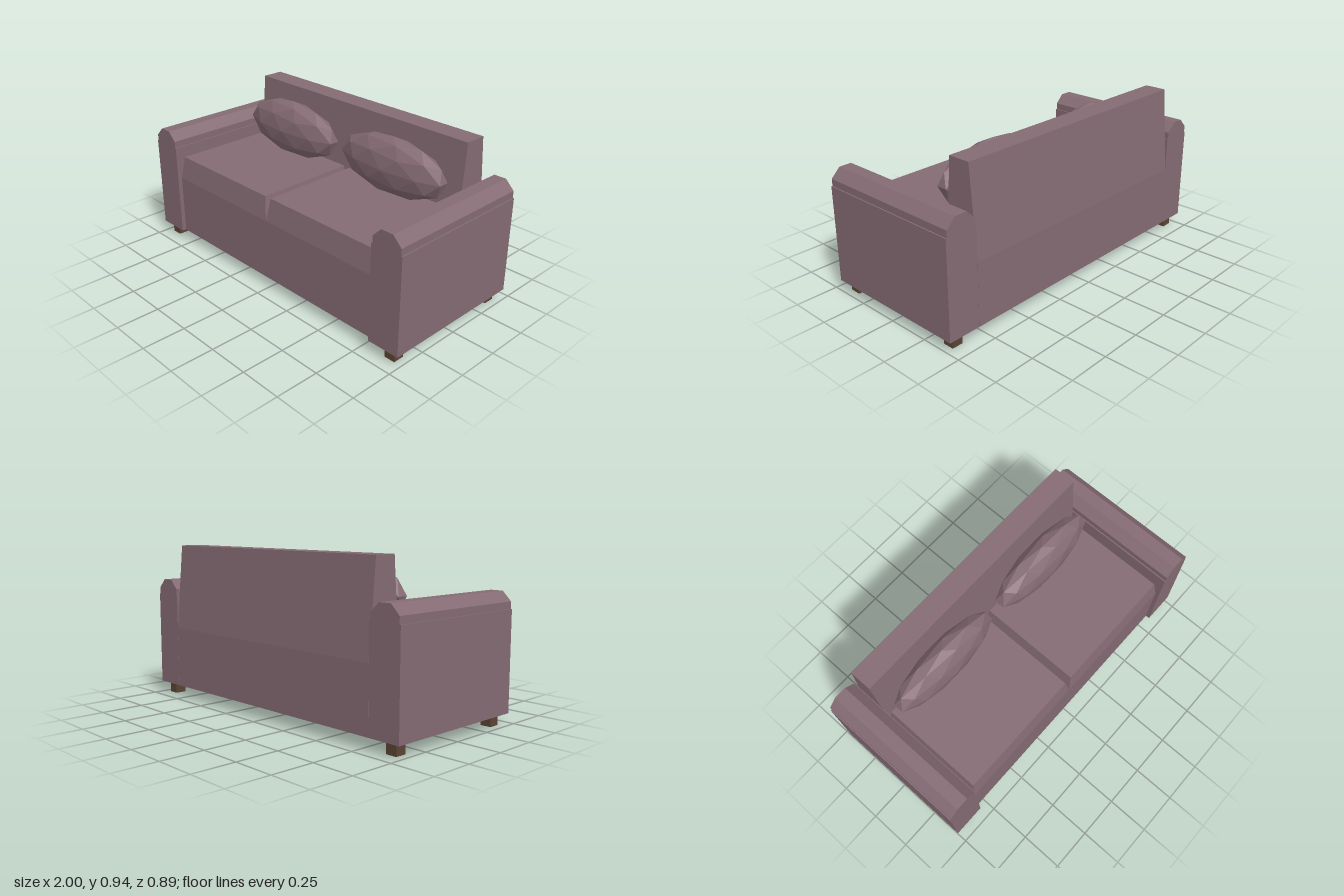
import * as THREE from 'three';

const fabric = new THREE.MeshStandardMaterial({ color: 0x856b74, flatShading: true });
const wood = new THREE.MeshStandardMaterial({ color: 0x5a4433, flatShading: true });

// Box from bottom and top rectangles, each given as [x0, x1, z0, z1]
function taperedBox(y0, y1, bottom, top) {
  const geo = new THREE.BoxGeometry(1, 1, 1);
  const pos = geo.attributes.position;
  for (let i = 0; i < pos.count; i++) {
    const upper = pos.getY(i) > 0;
    const r = upper ? top : bottom;
    pos.setXYZ(i, r[pos.getX(i) > 0 ? 1 : 0], upper ? y1 : y0, r[pos.getZ(i) > 0 ? 3 : 2]);
  }
  geo.computeVertexNormals();
  return geo;
}

export function createModel() {
  const sofa = new THREE.Group();
  sofa.name = 'sofa';
  const add = (name, geo, mat = fabric) => {
    const mesh = new THREE.Mesh(geo, mat);
    mesh.name = name;
    sofa.add(mesh);
    return mesh;
  };

  // Seat base and sloping backrest
  const base = [-0.805, 0.805, -0.445, 0.42];
  add('seatBase', taperedBox(0.068, 0.43, base, base));
  add('backrest', taperedBox(0.43, 0.936,
    [-0.805, 0.805, -0.445, -0.232], [-0.805, 0.805, -0.4, -0.27]));

  // Armrest outline: straight sides, small ledge, chamfered cap
  const half = [[0.097, 0.068], [0.097, 0.63], [0.09, 0.63], [0.09, 0.67], [0.037, 0.723]];
  const outline = [...half, ...half.map(([x, y]) => [-x, y]).reverse()];
  const armShape = new THREE.Shape(outline.map(([x, y]) => new THREE.Vector2(x, y)));
  const armGeo = new THREE.ExtrudeGeometry(armShape, { depth: 0.89, bevelEnabled: false });
  armGeo.translate(0, 0, -0.445);

  // Pillow: faceted ball with a corner pointing up, flattened
  const pillowGeo = new THREE.IcosahedronGeometry(1, 1);
  pillowGeo.rotateX(-Math.atan((1 + Math.sqrt(5)) / 2));
  pillowGeo.rotateY(Math.PI / 2);
  pillowGeo.scale(0.375, 0.17, 0.1);
  pillowGeo.computeVertexNormals();

  for (const [side, s] of [['left', 1], ['right', -1]]) {
    add(side + 'Arm', armGeo).position.x = s * 0.903;

    // Seat cushion narrowing towards the top
    add(side + 'Cushion', taperedBox(0.43, 0.568,
      [-0.4025, 0.4025, -0.232, 0.42], [-0.38, 0.38, -0.21, 0.4])).position.x = s * 0.4025;

    add(side + 'Pillow', pillowGeo).position.set(s * 0.403, 0.72, -0.152);

    // Short square feet
    for (const [end, z] of [['Front', 0.381], ['Back', -0.379]]) {
      add(side + end + 'Foot', new THREE.BoxGeometry(0.065, 0.068, 0.065), wood)
        .position.set(s * 0.923, 0.034, z);
    }
  }
  return sofa;
}
